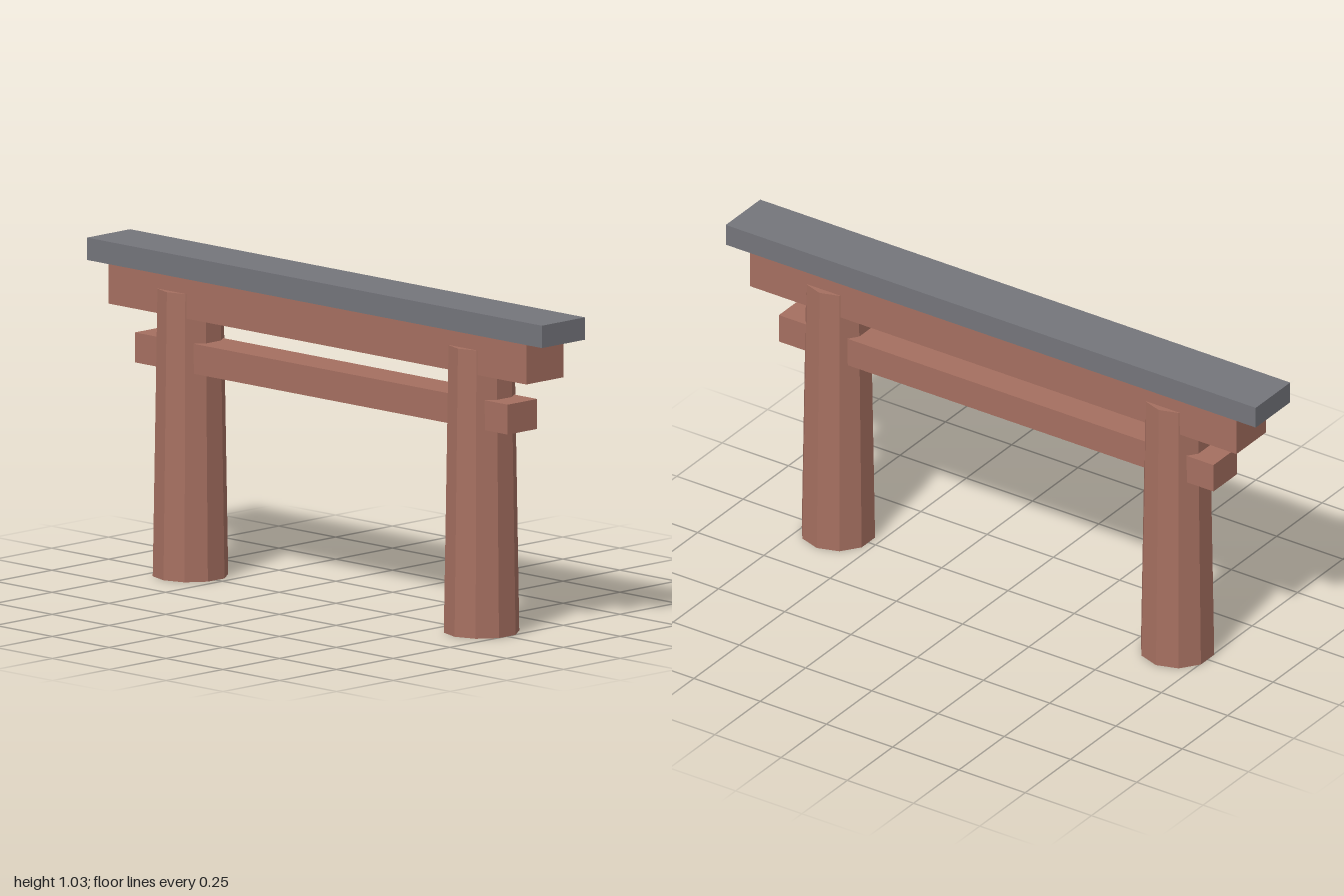
import * as THREE from 'three';

export function createModel() {
  const model = new THREE.Group();
  model.name = 'gate';
  const wood = new THREE.MeshStandardMaterial({ color: 0xa56f60, flatShading: true });
  const slate = new THREE.MeshStandardMaterial({ color: 0x74757b, flatShading: true });

  const add = (name, geometry, material, x, y) => {
    const mesh = new THREE.Mesh(geometry, material);
    mesh.name = name;
    mesh.position.set(x, y, 0);
    model.add(mesh);
  };

  // Horizontal beam given by its length, depth, bottom and top
  const beam = (name, material, length, depth, bottom, top) =>
    add(name, new THREE.BoxGeometry(length, top - bottom, depth), material, 0, (bottom + top) / 2);

  // Tapered ten-sided posts
  const postHeight = 0.912;
  for (const [name, side] of [['leftPost', 1], ['rightPost', -1]]) {
    add(name, new THREE.CylinderGeometry(0.104, 0.119, postHeight, 10), wood, side * 0.64, postHeight / 2);
  }

  // Tie beam through the posts, lintel above it, and the roof slab
  beam('tieBeam', wood, 1.64, 0.13, 0.659, 0.754);
  beam('lintel', wood, 1.836, 0.163, 0.834, 0.963);
  beam('roofSlab', slate, 2, 0.19, 0.963, 1.034);

  return model;
}
